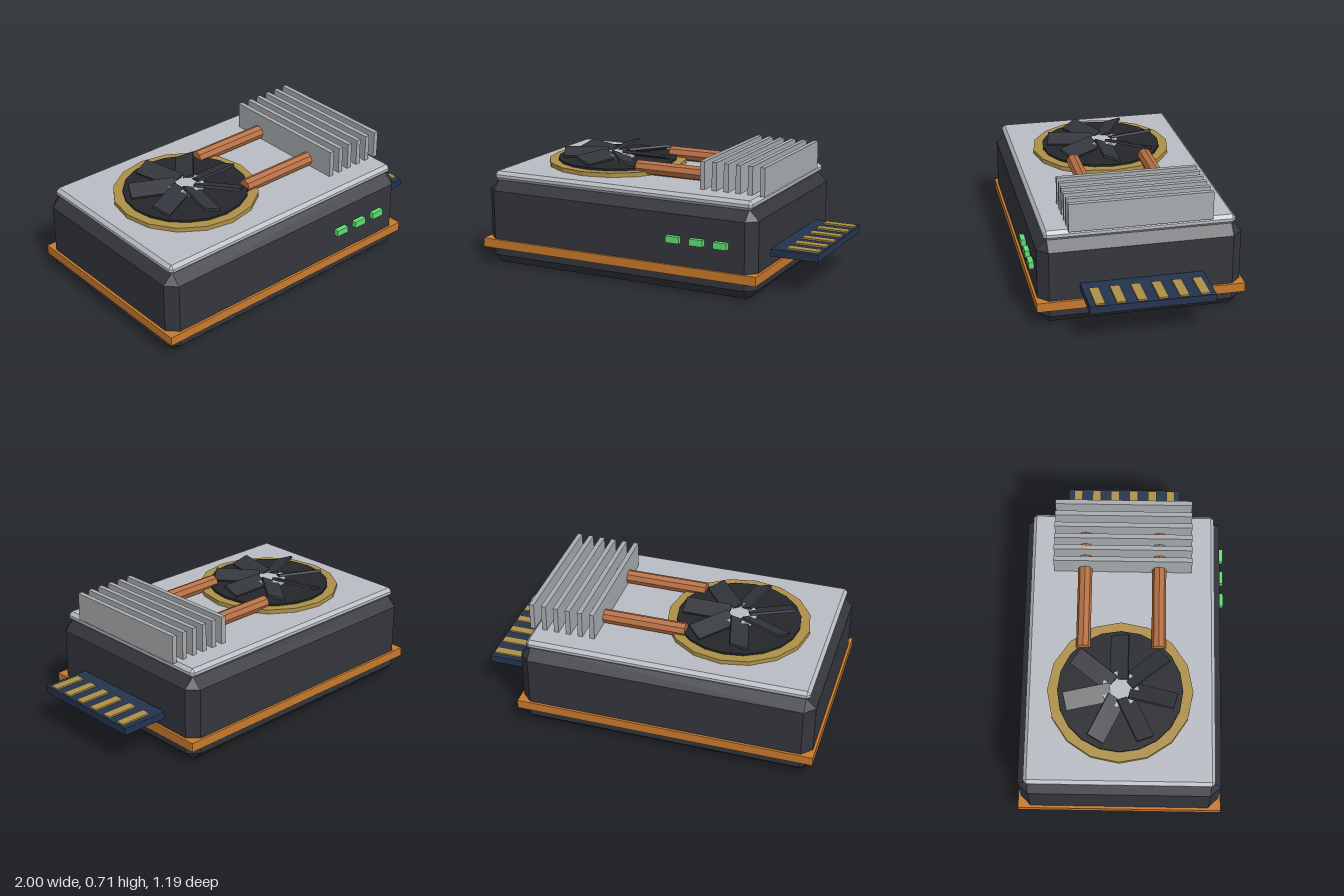
import * as THREE from 'three';
import { ConvexGeometry } from 'three/addons/geometries/ConvexGeometry.js';

const mat = (color) => new THREE.MeshStandardMaterial({ color, flatShading: true });
const MATS = {
  body: mat(0x34363d), plate: mat(0xb9bdc4), band: mat(0xc97a2d), gold: mat(0xae9048),
  board: mat(0x24344f), light: mat(0x5fe070), fan: mat(0x24262a), blade: mat(0x32353b),
  copper: mat(0xb87145), fin: mat(0xa9adb0),
};

// Box with every edge cut at 45 degrees
function chamferBox(w, h, d, c) {
  const pts = [];
  for (const sx of [-1, 1]) for (const sy of [-1, 1]) for (const sz of [-1, 1]) {
    for (let axis = 0; axis < 3; axis++) {
      const p = [w / 2, h / 2, d / 2].map((v, i) => (i === axis ? v : v - c));
      pts.push(new THREE.Vector3(sx * p[0], sy * p[1], sz * p[2]));
    }
  }
  return new ConvexGeometry(pts);
}

export function createModel() {
  const model = new THREE.Group();
  model.name = 'coolingUnit';

  const add = (parent, name, geometry, material, x, y, z) => {
    const mesh = new THREE.Mesh(geometry, material);
    mesh.name = name;
    mesh.position.set(x, y, z);
    parent.add(mesh);
    return mesh;
  };
  const group = (name, x = 0, y = 0, z = 0) => {
    const g = new THREE.Group();
    g.name = name;
    g.position.set(x, y, z);
    model.add(g);
    return g;
  };

  // Casing, lid and trim
  const cx = -0.13, cz = -0.007;
  add(model, 'casing', chamferBox(1.71, 0.5, 1.144, 0.058), MATS.body, cx, 0.25, cz);
  add(model, 'lidPlate', chamferBox(1.64, 0.055, 1.07, 0.019), MATS.plate, cx, 0.5225, cz);
  add(model, 'trimBand', new THREE.BoxGeometry(1.74, 0.053, 1.172), MATS.band, cx, 0.126, cz);

  // Edge connector with contacts above and below
  const connector = group('edgeConnector');
  add(connector, 'board', new THREE.BoxGeometry(0.32, 0.042, 0.69), MATS.board, 0.84, 0.225, cz);
  const contact = new THREE.BoxGeometry(0.185, 0.058, 0.052);
  for (let i = 0; i < 6; i++) {
    add(connector, 'contact', contact, MATS.gold, 0.897, 0.226, cz + (i - 2.5) * 0.1145);
  }

  // Status lights on the front
  const lightGeo = new THREE.BoxGeometry(0.08, 0.038, 0.06);
  for (let i = 0; i < 3; i++) {
    add(model, 'statusLight', lightGeo, MATS.light, 0.247 + i * 0.143, 0.301, 0.563);
  }

  // Fan: rim, disc, hub and tilted blades
  const fan = group('fan', -0.418, 0, -0.01);
  add(fan, 'fanRim', new THREE.CylinderGeometry(0.413, 0.413, 0.03, 16), MATS.gold, 0, 0.56, 0);
  add(fan, 'fanDisc', new THREE.CylinderGeometry(0.356, 0.356, 0.03, 20), MATS.fan, 0, 0.572, 0);
  add(fan, 'fanHub', new THREE.CylinderGeometry(0.105, 0.105, 0.05, 14), MATS.plate, 0, 0.59, 0);
  const bladeGeo = new THREE.BoxGeometry(0.265, 0.015, 0.107);
  bladeGeo.rotateX(-0.35);
  bladeGeo.translate(0.188, 0, -0.005);
  for (let i = 0; i < 7; i++) {
    const blade = add(fan, 'fanBlade', bladeGeo, MATS.blade, 0, 0.611, 0);
    blade.rotation.y = (i * Math.PI * 2) / 7;
  }

  // Heat pipes from the fan to the fins
  const pipeGeo = new THREE.CylinderGeometry(0.041, 0.041, 0.7, 8);
  pipeGeo.rotateZ(Math.PI / 2);
  for (const side of [-1, 1]) {
    add(model, 'heatPipe', pipeGeo, MATS.copper, 0.185, 0.59, -0.01 + side * 0.215);
  }

  // Heat sink fins
  const sink = group('heatSink');
  const finGeo = new THREE.BoxGeometry(0.028, 0.162, 0.8);
  for (let i = 0; i < 6; i++) {
    add(sink, 'fin', finGeo, MATS.fin, 0.334 + i * 0.0717, 0.628, cz);
  }

  return model;
}
